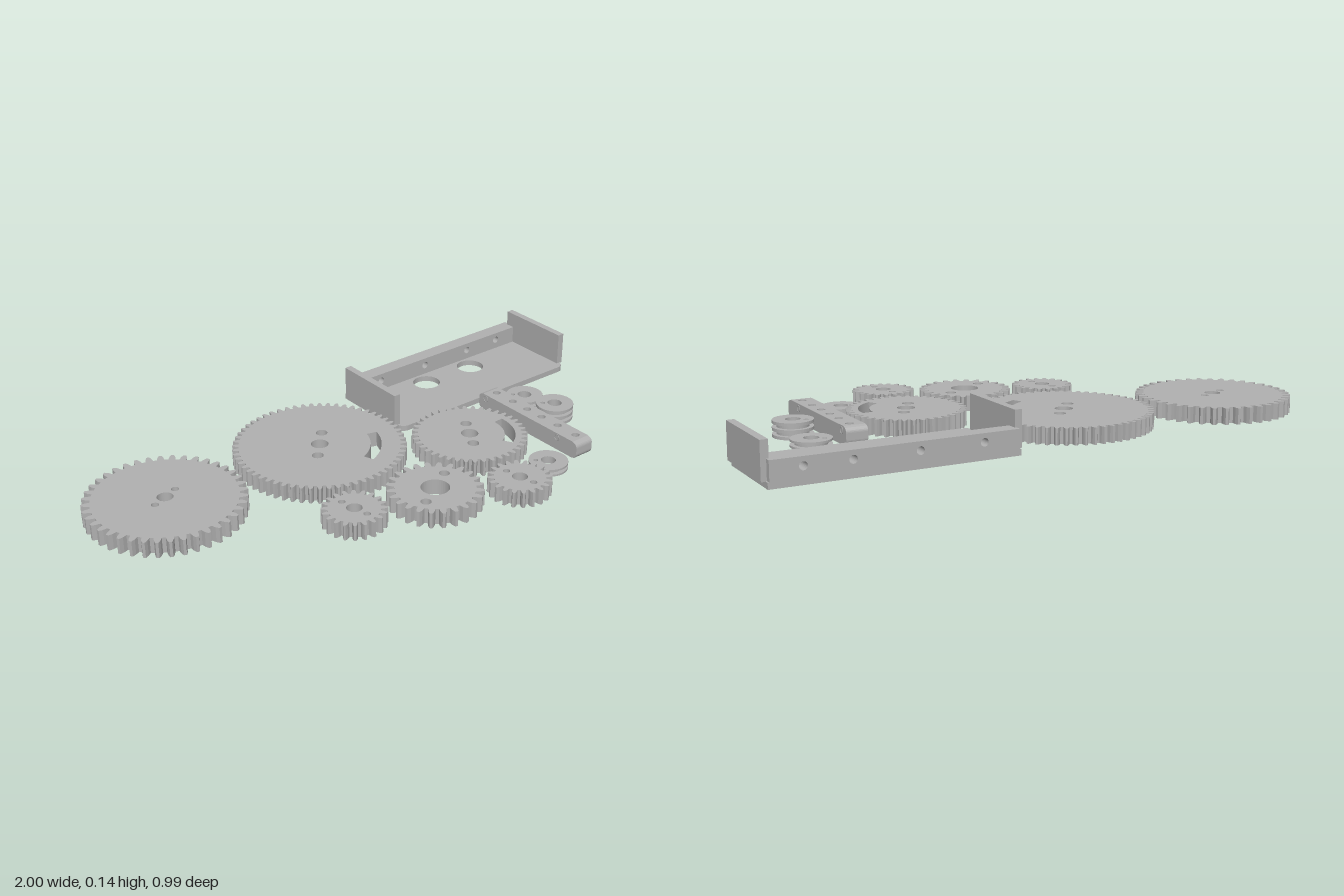
import * as THREE from 'three';

const grey = new THREE.MeshStandardMaterial({ color: 0xb0b0b0 });
grey.name = 'plain grey';

function circleHole(shape, x, z, r) {
  const p = new THREE.Path();
  p.absarc(x, -z, r, 0, Math.PI * 2, true);
  shape.holes.push(p);
}

// Curved slot; angles in degrees, measured from +x towards +z
function arcSlot(shape, r0, r1, a0, a1) {
  const s = -a0 * Math.PI / 180, e = -a1 * Math.PI / 180;
  const p = new THREE.Path();
  p.absarc(0, 0, r1, s, e, true);
  p.absarc(0, 0, r0, e, s, false);
  p.closePath();
  shape.holes.push(p);
}

// Extrude a plan shape (x, -z) upwards
function slab(shape, height, steps = 1) {
  const g = new THREE.ExtrudeGeometry(shape, { depth: height, steps, bevelEnabled: false, curveSegments: 20 });
  return g.rotateX(-Math.PI / 2);
}

function rectShape(x0, x1, z0, z1, r = 0) {
  const s = new THREE.Shape();
  s.moveTo(x0, -z0);
  s.lineTo(x0, -z1 + r);
  if (r) s.absarc(x0 + r, -z1 + r, r, Math.PI, Math.PI * 1.5, false);
  s.lineTo(x1 - r, -z1);
  if (r) s.absarc(x1 - r, -z1 + r, r, Math.PI * 1.5, Math.PI * 2, false);
  s.lineTo(x1, -z0);
  s.closePath();
  return s;
}

function add(parent, name, geometry, x = 0, y = 0, z = 0) {
  const m = new THREE.Mesh(geometry, grey);
  m.name = name;
  m.position.set(x, y, z);
  parent.add(m);
  return m;
}

// Spur gear with bore, a pair of opposite holes and an optional slot
function gear(parent, { name, x, z, r, teeth, bore, hole, slot }) {
  const module_ = 2 * r / (teeth + 2);
  const root = r - 2.2 * module_, mid = r - module_;
  const pitch = Math.PI * 2 / teeth;
  const profile = [[-0.33, root], [-0.25, mid], [-0.11, r], [0.11, r], [0.25, mid], [0.33, root]];
  const pts = [];
  for (let i = 0; i < teeth; i++) {
    for (const [f, rad] of profile) {
      const a = (i + f) * pitch;
      pts.push(new THREE.Vector2(Math.cos(a) * rad, Math.sin(a) * rad));
    }
  }
  const s = new THREE.Shape(pts);
  circleHole(s, 0, 0, bore);
  const [hx, hz, hr] = hole;
  circleHole(s, hx, hz, hr);
  circleHole(s, -hx, -hz, hr);
  if (slot) arcSlot(s, ...slot);
  add(parent, name, slab(s, 0.055), x, 0, z);
}

// Pulley: alternating flanges and grooves, bored through
function pulley(parent, name, x, z, height, grooves) {
  const group = new THREE.Group();
  group.name = name;
  group.position.set(x, 0, z);
  const layers = grooves * 2 + 1;
  const flange = height * 0.55 / (grooves + 1), gap = height * 0.45 / grooves;
  let y = 0;
  for (let i = 0; i < layers; i++) {
    const isFlange = i % 2 === 0;
    const s = new THREE.Shape();
    s.absarc(0, 0, isFlange ? 0.067 : 0.052, 0, Math.PI * 2, false);
    circleHole(s, 0, 0, 0.025);
    circleHole(s, -0.034, -0.026, 0.008);
    const h = isFlange ? flange : gap;
    add(group, isFlange ? 'flange' : 'groove', slab(s, h), 0, y, 0);
    y += h;
  }
  parent.add(group);
}

// Drilled bar with ends rounded in side profile
function drilledBar(parent) {
  const group = new THREE.Group();
  group.name = 'drilledBar';
  const h = 0.062, half = 0.2475, r = 0.02, cz = 0.1075;
  const s = rectShape(-0.037, 0.037, -half, half);
  for (const z of [-0.094, -0.008, 0.067, 0.14, 0.22, 0.307]) circleHole(s, 0.005, z - cz, 0.014);
  const g = slab(s, h, 16);
  const p = g.attributes.position;
  for (let i = 0; i < p.count; i++) {
    if (Math.abs(p.getZ(i)) < half - 1e-4) continue;
    const y = p.getY(i);
    const d = Math.max(0, r - Math.min(y, h - y));
    const inset = r - Math.sqrt(Math.max(0, r * r - d * d));
    p.setZ(i, Math.sign(p.getZ(i)) * (half - inset));
  }
  g.computeVertexNormals();
  add(group, 'bar', g);
  // Rims of the cross holes
  for (const z of [0.26, -0.105]) {
    for (const side of [-1, 1]) {
      const rim = new THREE.TorusGeometry(0.011, 0.0015, 6, 20).rotateY(Math.PI / 2);
      add(group, 'crossHoleRim', rim, side * 0.037, 0.046, z - cz);
    }
  }
  group.position.set(0.565, 0, cz);
  parent.add(group);
}

// Tray bracket: base plate, two tall end walls and a drilled back wall
function bracket(parent) {
  const group = new THREE.Group();
  group.name = 'bracket';
  const base = rectShape(0.185, 0.985, -0.495, -0.163, 0.03);
  circleHole(base, 0.478, -0.38, 0.05);
  circleHole(base, 0.695, -0.38, 0.05);
  add(group, 'basePlate', slab(base, 0.02));

  for (const x of [0.184, 0.985]) {
    add(group, 'endWall', new THREE.BoxGeometry(0.025, 0.12, 0.285), x, 0.078, -0.3325);
  }

  const wall = new THREE.Shape();
  wall.moveTo(0.19, 0.02);
  wall.lineTo(0.98, 0.02);
  wall.lineTo(0.98, 0.083);
  wall.lineTo(0.19, 0.083);
  wall.closePath();
  for (const x of [0.31, 0.52, 0.73, 0.88]) circleHole(wall, x, -0.055, 0.013);
  const g = new THREE.ExtrudeGeometry(wall, { depth: 0.055, bevelEnabled: false, curveSegments: 12 });
  add(group, 'backWall', g, 0, 0, -0.495);
  parent.add(group);
}

export function createModel() {
  const model = new THREE.Group();
  model.name = 'gearKit';

  const gears = [
    { name: 'coarseLargeGear', x: -0.735, z: -0.23, r: 0.266, teeth: 40, bore: 0.027, hole: [0.05, -0.022, 0.013] },
    { name: 'fineLargeGear', x: -0.147, z: -0.2, r: 0.297, teeth: 60, bore: 0.03, hole: [0.051, -0.059, 0.02], slot: [0.174, 0.211, 15, 68] },
    { name: 'fineMediumGear', x: 0.302, z: 0.062, r: 0.2, teeth: 40, bore: 0.03, hole: [0.036, -0.06, 0.02], slot: [0.121, 0.158, -3, 63] },
    { name: 'smallGear', x: -0.302, z: 0.198, r: 0.107, teeth: 20, bore: 0.026, hole: [-0.01, -0.053, 0.012] },
    { name: 'coarseSmallGear', x: -0.022, z: 0.262, r: 0.16, teeth: 24, bore: 0.048, hole: [0.08, -0.049, 0.018] },
    { name: 'smallGear', x: 0.238, z: 0.383, r: 0.107, teeth: 20, bore: 0.026, hole: [-0.01, -0.054, 0.012] },
  ];
  for (const g of gears) gear(model, g);

  pulley(model, 'singlePulley', 0.69, -0.072, 0.026, 1);
  pulley(model, 'doublePulley', 0.69, 0.083, 0.055, 2);
  pulley(model, 'singlePulley', 0.422, 0.329, 0.026, 1);

  drilledBar(model);
  bracket(model);
  return model;
}
